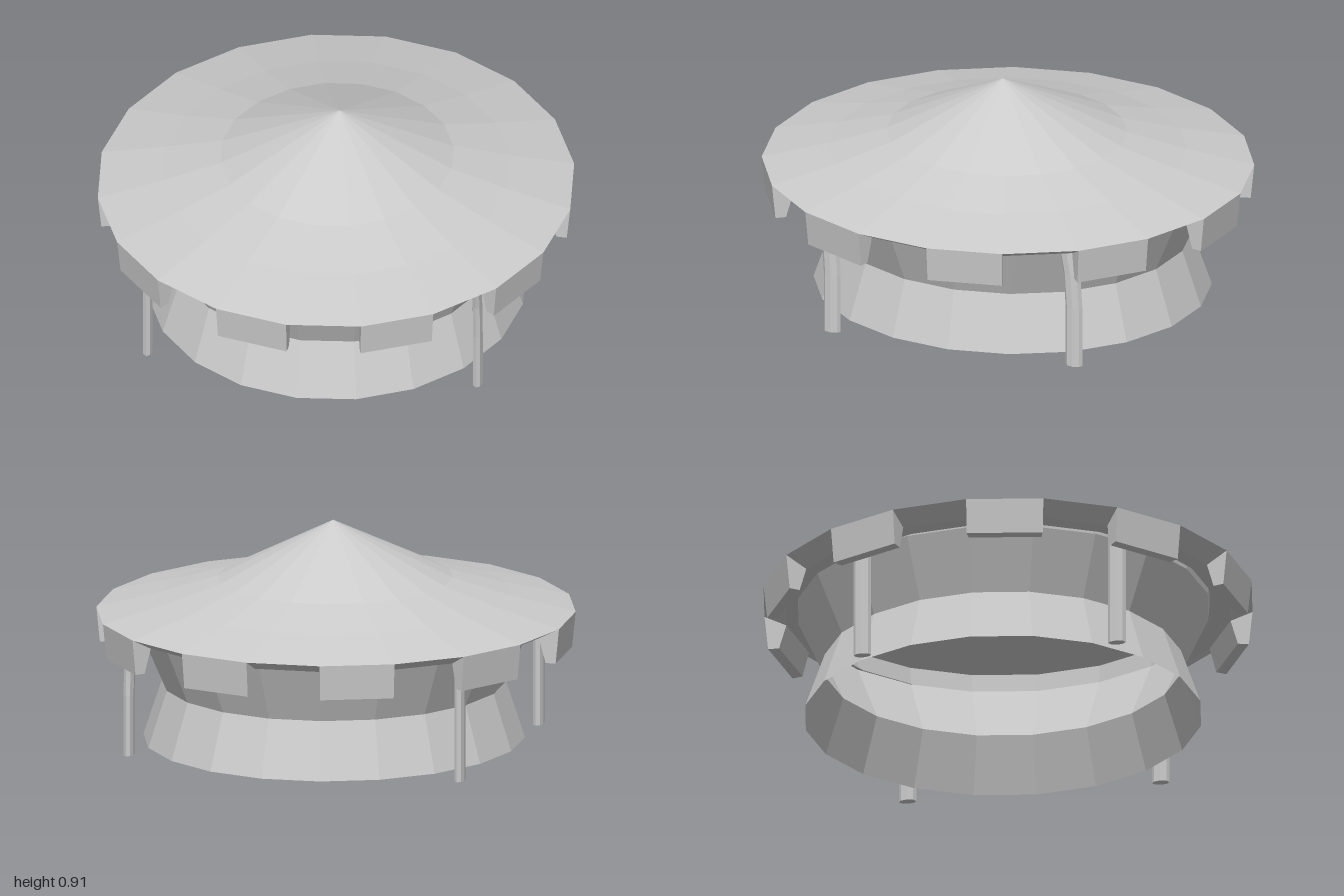
import * as THREE from 'three';

const SIDES = 20;
const SQUEEZE = 0.967; // the plan is slightly narrower across x than along z
const material = new THREE.MeshStandardMaterial({ color: 0xcccccc, flatShading: true, side: THREE.DoubleSide });

function addMesh(parent, name, geometry) {
  geometry.computeVertexNormals();
  const mesh = new THREE.Mesh(geometry, material);
  mesh.name = name;
  parent.add(mesh);
  return mesh;
}

// Move every vertex of a geometry by a rule
function reshape(geometry, rule) {
  const pos = geometry.attributes.position;
  const v = new THREE.Vector3();
  for (let i = 0; i < pos.count; i++) {
    v.fromBufferAttribute(pos, i);
    rule(v);
    pos.setXYZ(i, v.x, v.y, v.z);
  }
  return geometry;
}

// Faceted turned shape from [radius, height] pairs
function turned(profile) {
  const points = profile.map(([r, y]) => new THREE.Vector2(r, y));
  return new THREE.LatheGeometry(points, SIDES).scale(SQUEEZE, 1, 1);
}

// One hanging flap filling the rim segment that starts at angle a0, thin at its foot
function flapGeometry(a0) {
  const step = (Math.PI * 2) / SIDES;
  return reshape(new THREE.BoxGeometry(1, 1, 1), (v) => {
    const angle = a0 + (v.x > 0 ? step : 0);
    const outer = v.z > 0, top = v.y > 0;
    const r = outer ? (top ? 1 : 0.985) : (top ? 0.91 : 0.94);
    const y = top ? (outer ? 0.545 : 0.5) : 0.4;
    v.set(Math.sin(angle) * r * SQUEEZE, y, Math.cos(angle) * r);
  });
}

// Slim post whose top leans forward by the given amount
function postGeometry(x, z, lean) {
  const heights = [0, 0.25, 0.4, 0.52];
  const shifts = [0, 0, 0.3, 1];
  return reshape(new THREE.CylinderGeometry(1, 1, 3, 8, 3), (v) => {
    const row = Math.round(v.y + 1.5);
    v.set(x + v.x * 0.02, heights[row], z + v.z * 0.036 + lean * shifts[row]);
  });
}

export function createModel() {
  const model = new THREE.Group();
  model.name = 'roundPavilion';

  // Roof shell with a narrow eave below and a slightly off-centre peak
  const roof = turned([[0.84, 0.5], [0.91, 0.5], [1, 0.545], [0.73, 0.61], [0.49, 0.68], [0, 0.912]]);
  reshape(roof, (v) => {
    const lift = Math.max(0, v.y - 0.6) / 0.31;
    v.x += 0.018 * lift;
    v.z += 0.015 * lift;
  });
  addMesh(model, 'roof', roof);

  // Waisted wall, open at the bottom, running up into the roof
  const wall = addMesh(model, 'wall', turned([[0.81, 0.025], [0.73, 0.257], [0.84, 0.5], [0.845, 0.576]]));
  wall.scale.x = 0.98;
  wall.position.z = -0.02;

  // Flaps on every other segment of the rim
  const flaps = new THREE.Group();
  flaps.name = 'rimFlaps';
  for (let i = 1; i < SIDES; i += 2) {
    addMesh(flaps, 'rimFlap', flapGeometry((i * Math.PI * 2) / SIDES));
  }
  model.add(flaps);

  // Four posts: x, z and lean
  const posts = {
    frontLeftPost: [0.69, 0.505, 0.03],
    backLeftPost: [0.69, -0.535, 0.03],
    frontRightPost: [-0.66, 0.565, 0],
    backRightPost: [-0.72, -0.47, 0],
  };
  for (const [name, spec] of Object.entries(posts)) addMesh(model, name, postGeometry(...spec));

  return model;
}
